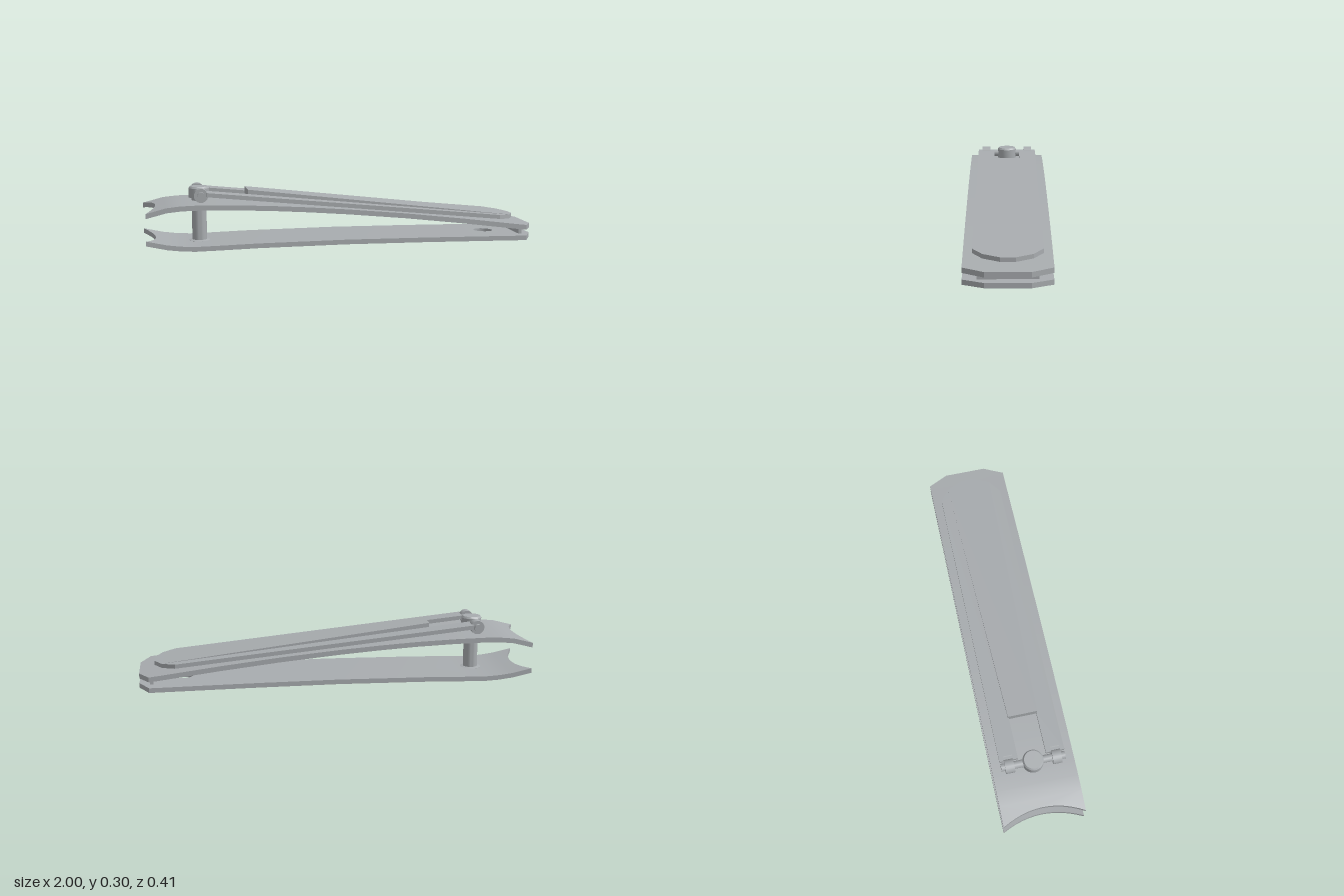
import * as THREE from 'three';
import { mergeGeometries, toCreasedNormals } from 'three/addons/utils/BufferGeometryUtils.js';

const steel = new THREE.MeshStandardMaterial({ color: 0xa8acaf });
steel.name = 'steel';

const PIN_X = -0.725;

// Piecewise-linear interpolation through [x, y] points
function along(points) {
  return (x) => {
    let i = 0;
    while (i < points.length - 2 && x > points[i + 1][0]) i++;
    const [x0, y0] = points[i], [x1, y1] = points[i + 1];
    return y0 + ((y1 - y0) * (x - x0)) / (x1 - x0);
  };
}

// Extrudes an outline in plan and lays its faces on the heights bottom(x) and top(x)
function slab(outline, bottom, top, holes = []) {
  const shape = new THREE.Shape(outline.map(([x, z]) => new THREE.Vector2(x, z)));
  for (const [x, r] of holes) {
    shape.holes.push(new THREE.Path().absarc(x, 0, r, 0, Math.PI * 2, true));
  }
  const geo = new THREE.ExtrudeGeometry(shape, { depth: 1, bevelEnabled: false, curveSegments: 16 });
  geo.rotateX(-Math.PI / 2);
  const p = geo.attributes.position;
  for (let i = 0; i < p.count; i++) {
    const x = p.getX(i);
    p.setY(i, p.getY(i) > 0.5 ? top(x) : bottom(x));
  }
  geo.computeVertexNormals();
  return geo;
}

// Long jaw: a notched cutting end, straight segments and a chamfered tail with a hole
function jaw(profile, thickness) {
  const W = 0.205;
  const top = along(profile), bottom = (x) => top(x) - thickness;
  const pieces = [];
  const notch = [];
  for (let i = 0; i <= 12; i++) {
    const t = 1 - i / 6;
    notch.push([-0.945 - 0.055 * t * t, W * t]);
  }
  pieces.push(slab([...notch, [-0.9, -W], [-0.9, W]], bottom, top));
  const xs = profile.map((q) => q[0]).filter((x) => x >= -0.9 && x <= 0.9);
  for (let i = 0; i < xs.length - 1; i++) {
    const a = xs[i], b = xs[i + 1];
    const holes = a < 0.78 && b > 0.78 ? [[0.78, 0.05]] : [];
    pieces.push(slab([[a, -W], [b, -W], [b, W], [a, W]], bottom, top, holes));
  }
  pieces.push(slab([[0.9, -W], [0.95, -W], [1, -0.105], [1, 0.105], [0.95, W], [0.9, W]], bottom, top));
  return toCreasedNormals(mergeGeometries(pieces), 0.4);
}

export function createModel() {
  const model = new THREE.Group();
  model.name = 'nailClipper';
  const add = (name, geo, x = 0, y = 0, z = 0) => {
    const mesh = new THREE.Mesh(geo, steel);
    mesh.name = name;
    mesh.position.set(x, y, z);
    model.add(mesh);
    return mesh;
  };

  // Jaws
  add('lowerJaw', jaw([[-1, 0.06], [-0.95, 0.048], [-0.9, 0.038], [-0.83, 0.029], [-0.76, 0.025],
    [-0.65, 0.027], [-0.45, 0.032], [0, 0.036], [0.4, 0.033], [0.7, 0.029], [0.9, 0.026], [1, 0.025]], 0.024));
  add('upperJaw', jaw([[-1, 0.195], [-0.95, 0.21], [-0.9, 0.221], [-0.83, 0.228], [-0.76, 0.23],
    [-0.6, 0.227], [-0.4, 0.219], [-0.2, 0.206], [0, 0.19], [0.3, 0.161], [0.6, 0.126], [0.9, 0.087], [1, 0.075]], 0.025));

  // Spacer joining the jaws at the tail
  add('tailSpacer', new THREE.BoxGeometry(0.016, 0.045, 0.28), 0.938, 0.043, 0);

  // Lever: forked sheet with a rounded tip
  const leverTop = along([[-0.7, 0.285], [0.925, 0.12]]);
  const half = [[-0.7, 0.07], [-0.7, 0.162], [0.82, 0.162], [0.885, 0.115], [0.925, 0.035]];
  const mirrored = half.map(([x, z]) => [x, -z]).reverse();
  const fork = [[-0.485, 0.07], ...half, ...mirrored, [-0.485, -0.07]];
  add('lever', slab(fork, (x) => leverTop(x) - 0.021, leverTop));

  // Raised centre panel that fades out toward the tip
  const panelTop = along([[-0.485, 0.285], [0.88, 0.1255]]);
  add('leverPanel', slab([[-0.485, -0.074], [0.88, -0.114], [0.88, 0.114], [-0.485, 0.074]],
    (x) => leverTop(x) - 0.01, panelTop));

  // Pin with a flange at the base and a bevelled head
  const pinProfile = [[0, 0], [0.055, 0], [0.055, 0.026], [0.037, 0.03], [0.037, 0.24],
    [0.052, 0.244], [0.052, 0.292], [0.045, 0.301], [0, 0.301]];
  const pin = new THREE.LatheGeometry(pinProfile.map(([r, y]) => new THREE.Vector2(r, y)), 32);
  add('pin', toCreasedNormals(pin, 0.5), PIN_X, 0, 0);

  // Cross axle and the lever eyes around it
  add('axle', new THREE.CylinderGeometry(0.019, 0.019, 0.32, 20).rotateX(Math.PI / 2), PIN_X, 0.268, 0);
  for (const side of [1, -1]) {
    const eye = new THREE.CylinderGeometry(0.035, 0.035, 0.045, 24).rotateX(Math.PI / 2);
    add(side > 0 ? 'frontEye' : 'backEye', eye, PIN_X, 0.268, side * 0.118);
    add(side > 0 ? 'frontEyeNeck' : 'backEyeNeck', new THREE.BoxGeometry(0.04, 0.02, 0.045),
      PIN_X + 0.03, 0.273, side * 0.118);
  }
  return model;
}
